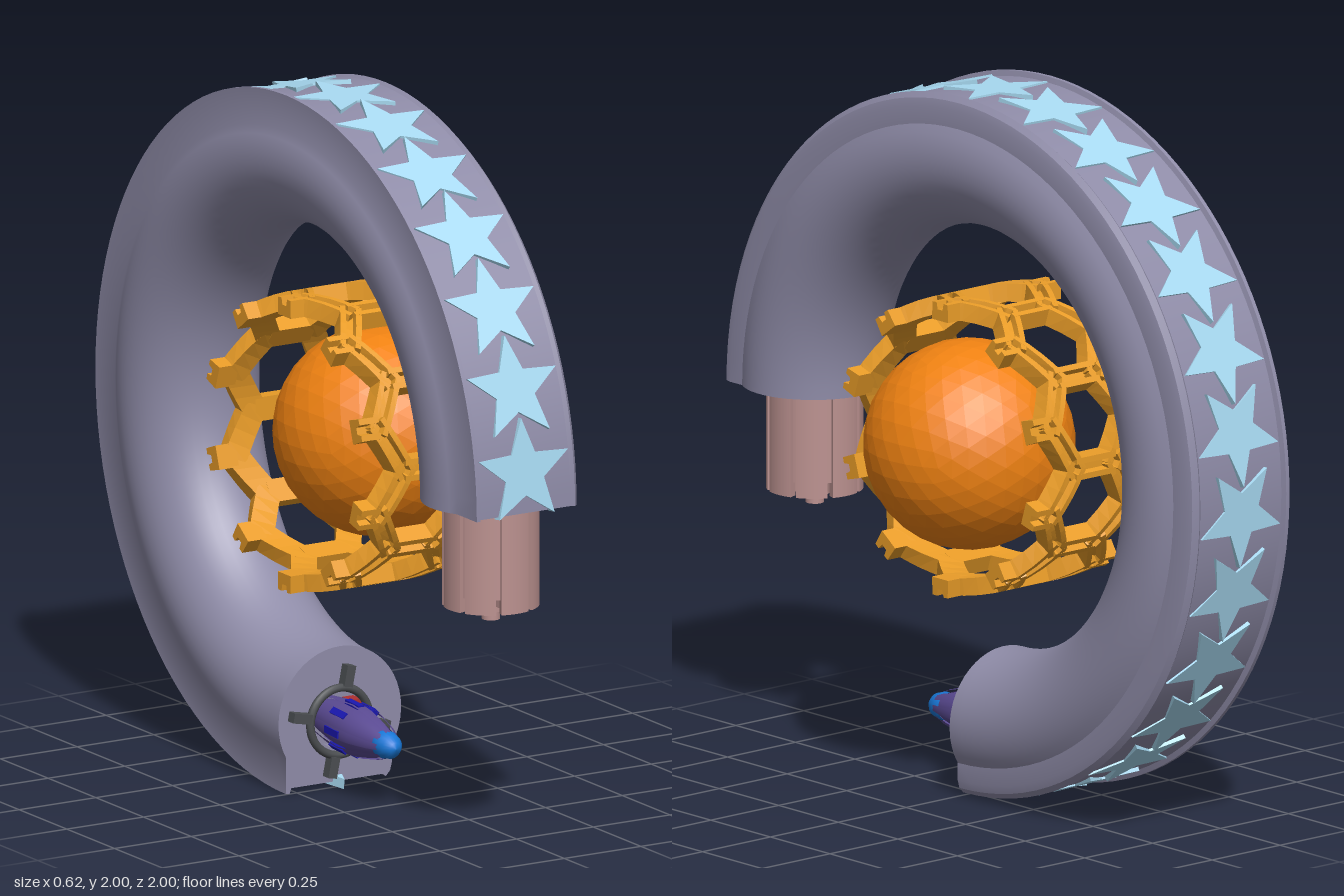
import * as THREE from 'three';
import { mergeGeometries, toCreasedNormals } from 'three/addons/utils/BufferGeometryUtils.js';

const mat = (color) => new THREE.MeshStandardMaterial({ color, side: THREE.DoubleSide });
const LAVENDER = mat(0x8f8ca8), SKY = mat(0xa8daf2), PINK = mat(0xbc9290), DARK = mat(0x4a4d50);
const ORANGE = mat(0xf08212), AMBER = mat(0xe99c28), PURPLE = mat(0x5a4a92), BLUE = mat(0x1878d8);
const NAVY = mat(0x1a18b0), RED = mat(0xb03030);
ORANGE.flatShading = true;

function add(parent, name, geometry, material, x = 0, y = 0, z = 0) {
  const mesh = new THREE.Mesh(geometry, material);
  mesh.name = name;
  mesh.position.set(x, y, z);
  parent.add(mesh);
  return mesh;
}

function group(parent, name, x = 0, y = 0, z = 0) {
  const g = new THREE.Group();
  g.name = name;
  g.position.set(x, y, z);
  parent.add(g);
  return g;
}

const v = (x, y, z) => new THREE.Vector3(x, y, z);

// Tube section (radius, sideways): flat tread outside, round inside
function tubeProfile() {
  const pts = [[1, -0.175], [1, -0.163], [0.985, -0.158], [0.985, 0.14],
    [0.993, 0.15], [0.978, 0.164], [0.955, 0.17]].map(([r, a]) => new THREE.Vector2(r, a));
  const from = 1.016, to = 2 * Math.PI - 1.065;
  for (let i = 0; i <= 32; i++) {
    const t = from + (to - from) * i / 32;
    pts.push(new THREE.Vector2(0.8 + 0.2 * Math.cos(t), 0.2 * Math.sin(t)));
  }
  return pts;
}

// Flat tube end with a round recess; dir is the recess direction along local z
function tubeEnd(parent, name, basis, holeRadius, depth, dir) {
  const end = group(parent, name);
  end.quaternion.setFromRotationMatrix(new THREE.Matrix4().makeBasis(...basis));
  const face = new THREE.Shape(tubeProfile());
  face.holes.push(new THREE.Path().absarc(0.8, 0, holeRadius, 0, Math.PI * 2, true));
  add(end, 'endFace', new THREE.ShapeGeometry(face, 40), LAVENDER);
  const wall = new THREE.CylinderGeometry(holeRadius, holeRadius, depth, 40, 1, true).rotateX(Math.PI / 2);
  add(end, 'recessWall', wall, LAVENDER, 0.8, 0, dir * depth / 2);
  add(end, 'recessFloor', new THREE.CircleGeometry(holeRadius, 40), LAVENDER, 0.8, 0, dir * depth);
}

function starGeometry() {
  const pts = [];
  for (let i = 0; i < 10; i++) {
    const r = i % 2 ? 0.065 : 0.152, t = Math.PI / 2 + i * Math.PI / 5;
    pts.push(new THREE.Vector2(r * Math.cos(t), r * Math.sin(t)));
  }
  return new THREE.ExtrudeGeometry(new THREE.Shape(pts), { depth: 0.03, bevelEnabled: false });
}

// Grooved bar between two points (u around, x along), wrapped round the x axis
function cageBar(u1, x1, u2, x2, extra) {
  const length = Math.hypot(u2 - u1, x2 - x1), du = (u2 - u1) / length, dx = (x2 - x1) / length;
  const section = new THREE.Shape([[-0.037, 0.37], [0.037, 0.37], [0.03, 0.42], [0.014, 0.42],
    [0.01, 0.4], [-0.01, 0.4], [-0.014, 0.42], [-0.03, 0.42]].map(([w, r]) => new THREE.Vector2(w, r)));
  const geo = new THREE.ExtrudeGeometry(section, { depth: length + 2 * extra, steps: 4, bevelEnabled: false });
  const p = geo.attributes.position;
  for (let i = 0; i < p.count; i++) {
    const w = p.getX(i), r = p.getY(i), l = p.getZ(i) - extra;
    const angle = (u1 + du * l - dx * w) / 0.4;
    p.setXYZ(i, x1 + dx * l + du * w, r * Math.cos(angle), r * Math.sin(angle));
  }
  geo.computeVertexNormals();
  return geo;
}

// Ring of ten hexagonal cells with open stubs on both rims
function cageGeometry() {
  const bars = [], step = 0.4 * Math.PI / 5;
  for (let i = 0; i < 10; i++) {
    const u = i * step, mid = u + step / 2;
    bars.push(cageBar(mid, -0.072, mid, 0.072, 0));
    for (const s of [-1, 1]) {
      bars.push(cageBar(u, s * 0.144, u, s * 0.208, 0));
      bars.push(cageBar(u, s * 0.144, mid, s * 0.072, 0.014));
      bars.push(cageBar(mid, s * 0.072, u + step, s * 0.144, 0.014));
    }
  }
  return mergeGeometries(bars);
}

// Slotted drum hanging from the front end
function addDrum(parent) {
  const drum = group(parent, 'slottedDrum', -0.115, 0, 0.8);
  const half = Math.PI / 8 - 0.06;
  const wall = new THREE.Shape().absarc(0, 0, 0.135, -half, half, false).absarc(0, 0, 0.108, half, -half, true);
  const wallGeo = new THREE.ExtrudeGeometry(wall, { depth: 0.34, bevelEnabled: false, curveSegments: 8 })
    .rotateX(-Math.PI / 2);
  for (let i = 0; i < 8; i++) {
    add(drum, 'drumWall', wallGeo, PINK, 0, 0.7, 0).rotation.y = i * Math.PI / 4;
    const spoke = new THREE.BoxGeometry(0.085, 0.05, 0.022).translate(0.073, 0, 0);
    add(drum, 'drumSpoke', spoke, PINK, 0, 0.727, 0).rotation.y = i * Math.PI / 4;
  }
  add(drum, 'drumCore', new THREE.CylinderGeometry(0.122, 0.122, 0.3, 32), PINK, 0, 0.89, 0);
  add(drum, 'drumHub', new THREE.CylinderGeometry(0.042, 0.042, 0.06, 20), PINK, 0, 0.715, 0);
  add(drum, 'drumPin', new THREE.CylinderGeometry(0.026, 0.026, 0.06, 16), PINK, 0, 0.688, 0);
}

// Bullet-shaped pod with its clamp ring at the lower end
function addPod(parent) {
  const pod = group(parent, 'pod', -0.12, 0.19, 0);
  add(pod, 'clampRing', new THREE.TorusGeometry(0.096, 0.012, 10, 40), DARK, 0, 0, 0.016);
  for (let i = 0; i < 4; i++) {
    const tab = add(pod, 'clampTab', new THREE.BoxGeometry(0.028, 0.06, 0.03).translate(0, 0.13, 0), DARK, 0, 0, 0.015);
    tab.rotation.z = -0.2 + i * Math.PI / 2;
  }
  add(pod, 'redBlock', new THREE.BoxGeometry(0.035, 0.03, 0.045), RED, 0.063, 0.035, -0.022);
  const body = group(pod, 'podBody');
  body.rotation.x = 0.05;
  const outline = [[0.052, -0.05], [0.062, 0.02], [0.068, 0.1], [0.062, 0.16], [0.046, 0.23], [0.026, 0.285]];
  const lathe = (grow, start, sweep, segs) => new THREE.LatheGeometry(
    outline.map(([r, y]) => new THREE.Vector2(r + grow, y)), segs, start, sweep).rotateX(Math.PI / 2);
  add(body, 'podCore', lathe(-0.004, 0, Math.PI * 2, 32), PURPLE);
  for (let i = 0; i < 8; i++) {
    const angle = i * Math.PI / 4;
    add(body, 'podRib', lathe(0.006, angle - 0.22, 0.44, 4), PURPLE);
    const slot = new THREE.BoxGeometry(0.02, 0.012, 0.07).translate(0, 0.07, 0);
    add(body, 'podSlot', slot, NAVY, 0, 0, 0.09).rotation.z = angle;
  }
  const tip = [[0.038, 0.245], [0.04, 0.262], [0.033, 0.29], [0.018, 0.308], [0, 0.313]];
  add(body, 'podTip', new THREE.LatheGeometry(tip.map(([r, y]) => new THREE.Vector2(r, y)), 20)
    .rotateX(Math.PI / 2), BLUE);
}

export function createModel() {
  const model = new THREE.Group();
  model.name = 'model';

  // Three-quarter ring tube
  const ring = group(model, 'ringTube', -0.11, 1, 0);
  const profile = tubeProfile();
  profile.push(profile[0].clone());
  const shell = new THREE.LatheGeometry(profile, 84, -Math.PI * 1.5, Math.PI * 1.5).rotateZ(-Math.PI / 2);
  add(ring, 'tubeShell', toCreasedNormals(shell, 0.45), LAVENDER);
  tubeEnd(ring, 'frontEnd', [v(0, 0, 1), v(1, 0, 0), v(0, 1, 0)], 0.17, 0.05, 1);
  tubeEnd(ring, 'lowerEnd', [v(0, -1, 0), v(1, 0, 0), v(0, 0, 1)], 0.09, 0.05, -1);

  // Star plates along the tread
  const star = starGeometry();
  for (let i = 0; i < 20; i++) {
    const holder = group(ring, 'starHolder');
    holder.rotation.x = -THREE.MathUtils.degToRad(6.75 + 13.5 * i);
    add(holder, 'starPlate', star, SKY, -0.008, 0, 0.959 + (i % 2) * 0.001);
  }

  // Ball and honeycomb cage in the middle
  add(model, 'ball', new THREE.IcosahedronGeometry(0.295, 5), ORANGE, 0.017, 1, 0);
  add(model, 'honeycombCage', cageGeometry(), AMBER, -0.083, 1, 0);

  addDrum(model);
  addPod(model);
  return model;
}
